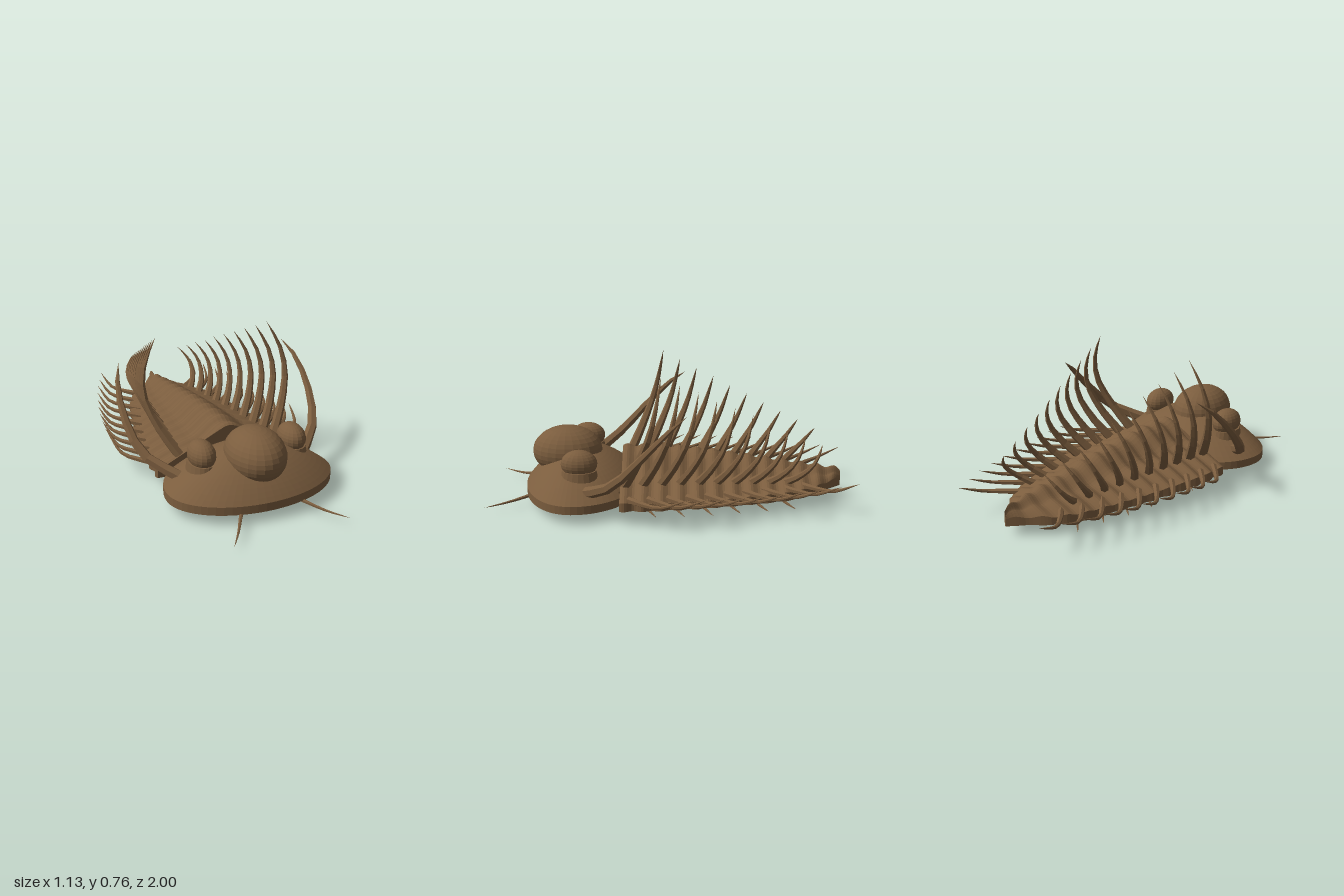
import * as THREE from 'three';

const shellBrown = new THREE.MeshStandardMaterial({ color: 0x7b5d3e, flatShading: true });
shellBrown.name = 'shellBrown';

function part(name, geometry, parent) {
  const mesh = new THREE.Mesh(geometry, shellBrown);
  mesh.name = name;
  parent.add(mesh);
  return mesh;
}

// Tapered spine along a smooth path, ending in a point
function spineGeometry(points, radius, segments = 8, power = 0.7) {
  const curve = new THREE.CatmullRomCurve3(points.map(p => new THREE.Vector3(...p)));
  const sides = 6;
  const geo = new THREE.TubeGeometry(curve, segments, radius, sides);
  const pos = geo.attributes.position;
  const v = new THREE.Vector3();
  for (let i = 0; i <= segments; i++) {
    const centre = curve.getPointAt(i / segments);
    const taper = Math.pow(1 - i / segments, power);
    for (let j = 0; j <= sides; j++) {
      const k = i * (sides + 1) + j;
      v.fromBufferAttribute(pos, k).sub(centre).multiplyScalar(taper).add(centre);
      pos.setXYZ(k, v.x, v.y, v.z);
    }
  }
  geo.computeVertexNormals();
  return geo;
}

// Same spine on both sides of the body
function spinePair(name, points, radius, parent, segments, power) {
  for (const side of [1, -1]) {
    const path = points.map(([x, y, z]) => [x * side, y, z]);
    part((side > 0 ? 'left' : 'right') + name, spineGeometry(path, radius, segments, power), parent);
  }
}

// Linear interpolation in a short list of [z, value] with z falling
function lookup(table, z) {
  for (let i = 1; i < table.length; i++) {
    const [z0, a] = table[i - 1], [z1, b] = table[i];
    if (z >= z1) return a + (b - a) * Math.min(1, Math.max(0, (z0 - z) / (z0 - z1)));
  }
  return table[table.length - 1][1];
}
const halfWidth = [[0.27, 0.41], [0.1, 0.405], [-0.1, 0.375], [-0.3, 0.335], [-0.5, 0.285],
  [-0.65, 0.24], [-0.78, 0.165], [-0.87, 0.07], [-0.95, 0.004]];
const ridgeHeight = [[0.27, 0.29], [0.1, 0.295], [-0.2, 0.27], [-0.5, 0.225], [-0.93, 0.165], [-0.95, 0.15]];

// Segmented body: cross-sections with a raised middle lobe and rippled rings
function bodyGeometry() {
  const rows = 96, cols = 36, ring = cols + 3;
  const pos = [], idx = [];
  for (let i = 0; i <= rows; i++) {
    const z = 0.27 - 1.22 * i / rows;
    const wave = Math.cos((z - 0.15) / 0.0965 * Math.PI * 2);
    const w = lookup(halfWidth, z) * (1 + 0.02 * wave);
    const h = lookup(ridgeHeight, z);
    const side = 0.105 + (h - 0.105) * 0.55;
    for (let j = 0; j <= cols; j++) {
      const u = -1 + 2 * j / cols;
      const lobe = Math.abs(u) < 0.45 ? 0.5 + 0.5 * Math.cos(u / 0.45 * Math.PI) : 0;
      const base = 0.105 + (side - 0.105) * (1 - u * u);
      const y = base + (h - side) * lobe + 0.009 * wave * (1 - 0.3 * Math.abs(u));
      pos.push(u * w, y, z);
    }
    pos.push(w, 0.06, z, -w, 0.06, z);
  }
  for (let i = 0; i < rows; i++) {
    for (let j = 0; j < ring; j++) {
      const a = i * ring + j, b = i * ring + (j + 1) % ring;
      idx.push(a, b, a + ring, b, b + ring, a + ring);
    }
  }
  const last = rows * ring;
  for (let j = 1; j < ring - 1; j++) {
    idx.push(0, j + 1, j, last, last + j, last + j + 1);
  }
  const geo = new THREE.BufferGeometry();
  geo.setAttribute('position', new THREE.Float32BufferAttribute(pos, 3));
  geo.setIndex(idx);
  geo.computeVertexNormals();
  return geo;
}

// Head shield: low dome on a short rim, longer and cut off at the back
function headGeometry() {
  const profile = [new THREE.Vector2(0, 0.06), new THREE.Vector2(1, 0.06)];
  for (let i = 0; i <= 16; i++) {
    const r = 1 - i / 16;
    profile.push(new THREE.Vector2(r, 0.105 + 0.185 * (1 - r * r)));
  }
  const geo = new THREE.LatheGeometry(profile, 64);
  const pos = geo.attributes.position;
  for (let i = 0; i < pos.count; i++) {
    const z = pos.getZ(i);
    pos.setX(i, pos.getX(i) * 0.458);
    pos.setZ(i, Math.max(0.255, 0.52 + z * (z > 0 ? 0.287 : 0.36)));
  }
  geo.computeVertexNormals();
  return geo;
}

export function createModel() {
  const model = new THREE.Group();
  model.name = 'spinyTrilobite';

  part('body', bodyGeometry(), model);
  part('headShield', headGeometry(), model);

  const bulb = part('browBulb', new THREE.SphereGeometry(1, 24, 18), model);
  bulb.scale.set(0.154, 0.14, 0.194);
  bulb.position.set(0, 0.265, 0.58);

  // Eyes on short stalks
  for (const side of [1, -1]) {
    const eye = new THREE.Group();
    eye.name = side > 0 ? 'leftEye' : 'rightEye';
    eye.position.set(side * 0.257, 0, 0.49);
    const stalk = part('eyeStalk', new THREE.CylinderGeometry(0.9, 1.1, 0.09, 20), eye);
    stalk.scale.set(0.078, 1, 0.102);
    stalk.position.y = 0.19;
    const ball = part('eyeBall', new THREE.SphereGeometry(1, 18, 14), eye);
    ball.scale.set(0.07, 0.075, 0.098);
    ball.position.y = 0.272;
    model.add(eye);
  }

  // Cheek horns sweeping up and back
  spinePair('CheekHorn', [[0.33, 0.13, 0.47], [0.5, 0.235, 0.3], [0.545, 0.4, 0.14],
    [0.525, 0.54, 0], [0.49, 0.6, -0.08]], 0.033, model, 7, 0.5);

  // Feelers under the front rim
  spinePair('Feeler', [[0.12, 0.07, 0.7], [0.18, 0.055, 0.79], [0.24, 0.042, 0.89],
    [0.315, 0.04, 1]], 0.013, model);

  // Ten rows of back spines and edge spines
  for (let k = 0; k < 10; k++) {
    const t = k / 9;
    const mix = (a, b) => a + (b - a) * t;
    const z = 0.235 - 0.0965 * k;
    const baseX = mix(0.28, 0.15), tipX = mix(0.325, 0.15), bulge = mix(0.42, 0.215);
    const y0 = mix(0.16, 0.13), y1 = mix(0.765, 0.35);
    const up = f => y0 + (y1 - y0) * f;
    spinePair('BackSpine', [[baseX, y0, z + 0.01], [mix(0.365, 0.2), up(0.24), z - 0.06],
      [bulge, up(0.52), z - 0.125], [mix(0.4, 0.195), up(0.76), z - 0.16],
      [tipX, y1, z - 0.185]], mix(0.029, 0.022), model);

    const zTip = -0.08 - 0.102 * k;
    const xTip = 0.56 - 0.07 * t - 0.175 * t * t;
    spinePair('EdgeSpine', [[xTip - 0.18, 0.115, zTip + 0.3], [xTip - 0.09, 0.12, zTip + 0.21],
      [xTip - 0.03, 0.13, zTip + 0.13], [xTip, 0.183, zTip]], 0.019, model);
  }

  // Six pairs of small legs beneath
  for (let k = 0; k < 6; k++) {
    const z = 0.19 - 0.151 * k;
    const s = lookup(halfWidth, z) / 0.405;
    spinePair('Leg', [[0.13 * s, 0.07, z], [0.22 * s, 0.035, z - 0.04],
      [0.28 * s, 0.018, z - 0.07], [0.356 * s, 0.004, z - 0.115]], 0.016, model);
  }
  return model;
}
